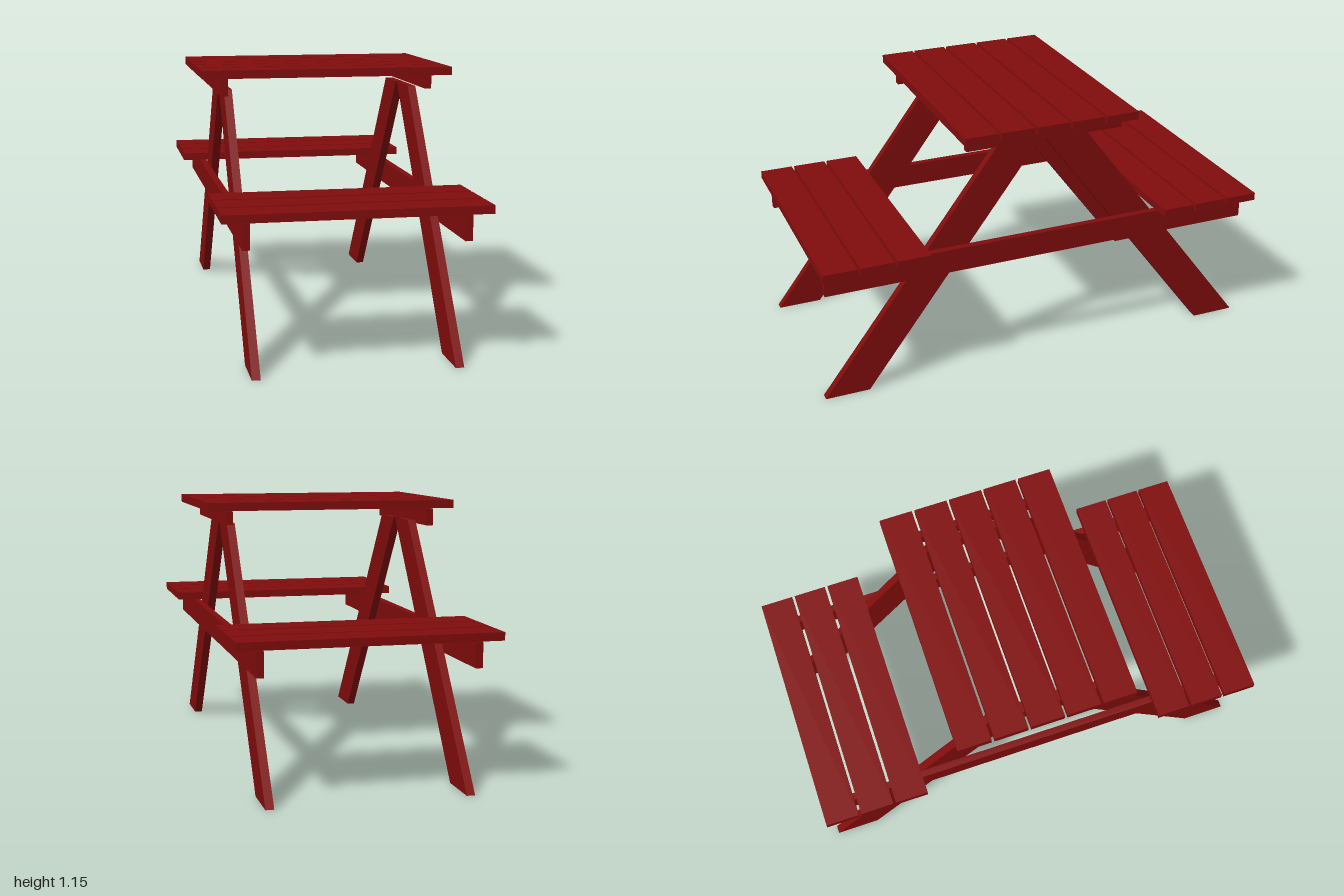
import * as THREE from 'three';

const paint = new THREE.MeshStandardMaterial({ color: 0x800c0c });

export function createModel() {
  const model = new THREE.Group();

  // A board given by its lower and upper limits on each axis
  const board = (name, [x0, x1], [y0, y1], [z0, z1]) => {
    const mesh = new THREE.Mesh(new THREE.BoxGeometry(x1 - x0, y1 - y0, z1 - z0), paint);
    mesh.position.set((x0 + x1) / 2, (y0 + y1) / 2, (z0 + z1) / 2);
    mesh.name = name;
    model.add(mesh);
  };

  // Planks run across x, spaced evenly along z
  const planks = (name, count, centre, y) => {
    for (let i = 0; i < count; i++) {
      const z = centre + (i - (count - 1) / 2) * 0.157;
      board(name, [-0.54, 0.54], y, [z - 0.0725, z + 0.0725]);
    }
  };
  planks('tablePlank', 5, 0, [1.112, 1.147]);
  planks('frontBenchPlank', 3, 0.7705, [0.624, 0.658]);
  planks('backBenchPlank', 3, -0.7705, [0.624, 0.658]);

  // Slanted leg, cut level at the floor and at the top
  const addLeg = (name, x, s) => {
    const shape = new THREE.Shape([[0.995, 0], [0.2, 1.048], [0.01, 1.048], [0.8, 0]]
      .map(([z, y]) => new THREE.Vector2(s * z, y)));
    const geometry = new THREE.ExtrudeGeometry(shape, { depth: 0.035, bevelEnabled: false });
    geometry.translate(0, 0, -0.0175).rotateY(-Math.PI / 2);
    const leg = new THREE.Mesh(geometry, paint);
    leg.position.x = x;
    leg.name = name;
    model.add(leg);
  };

  for (const [side, s] of [['left', 1], ['right', -1]]) {
    addLeg(side + 'FrontLeg', s * 0.411, 1);
    addLeg(side + 'BackLeg', s * 0.411, -1);

    // Bench beam and table cleat on the outside of the legs
    const x = s > 0 ? [0.428, 0.458] : [-0.458, -0.428];
    board(side + 'BenchBeam', x, [0.513, 0.618], [-0.977, 0.977]);
    board(side + 'TableCleat', x, [s > 0 ? 1.052 : 1.035, 1.108], [-0.352, 0.352]);
  }

  return model;
}
